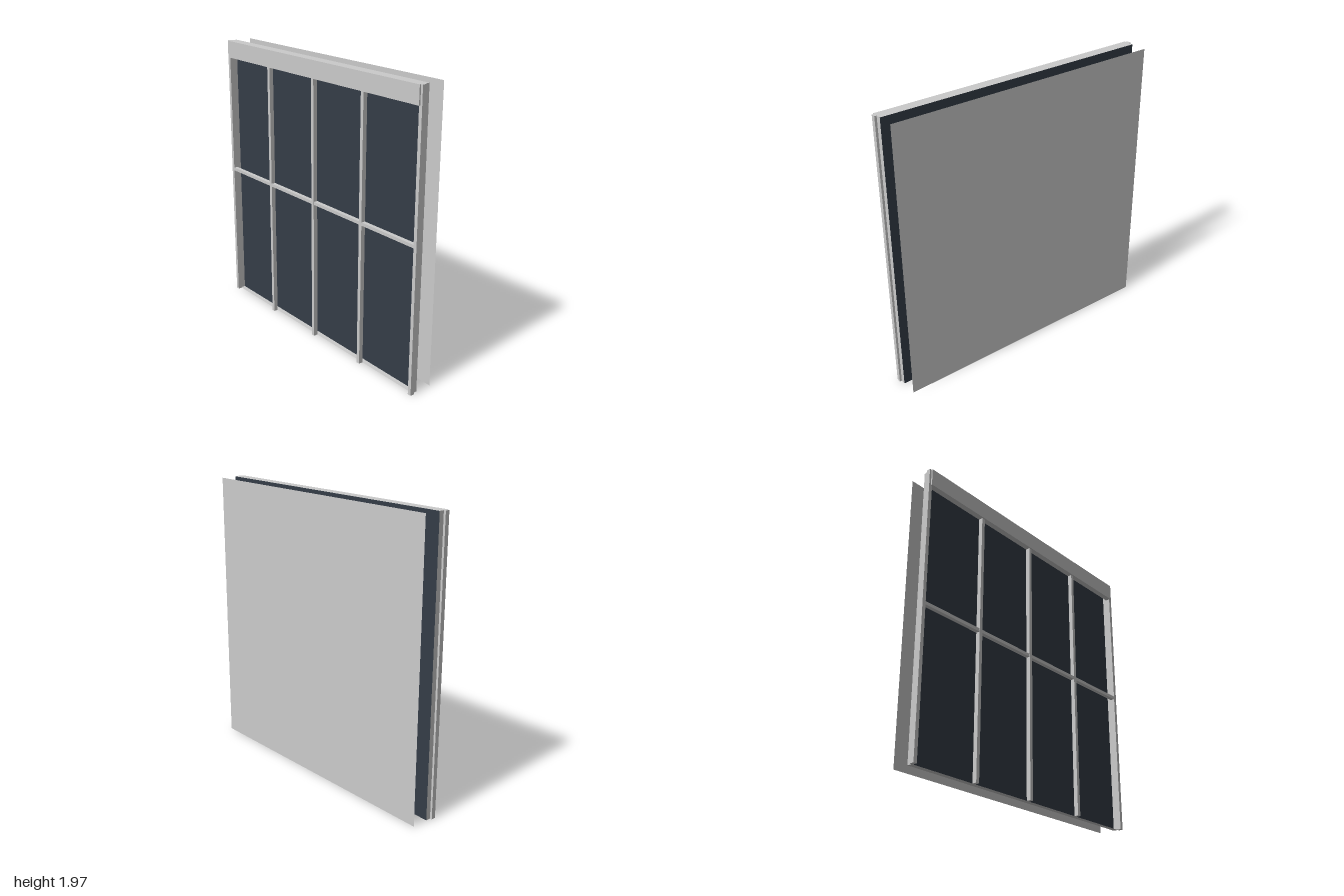
import * as THREE from 'three';

const H = 1.97;      // overall height
const W = 0.985;     // half width of the tray
const BACK = 0.02, MID = 0.055, FRONT = 0.085;

export function createModel() {
  const model = new THREE.Group();
  const grey = new THREE.MeshStandardMaterial({ color: 0xcccccc });
  const sheet = new THREE.MeshStandardMaterial({ color: 0xcccccc, side: THREE.DoubleSide });
  const dark = new THREE.MeshStandardMaterial({ color: 0x343d47, side: THREE.DoubleSide });

  // box given by its min and max corners
  const box = (name, x0, x1, y0, y1, z0, z1) => {
    const mesh = new THREE.Mesh(new THREE.BoxGeometry(x1 - x0, y1 - y0, z1 - z0), grey);
    mesh.position.set((x0 + x1) / 2, (y0 + y1) / 2, (z0 + z1) / 2);
    mesh.name = name;
    model.add(mesh);
  };
  // thin sheet, turned about x and y
  const plane = (name, w, h, x, y, z, material, rx = 0, ry = 0) => {
    const mesh = new THREE.Mesh(new THREE.PlaneGeometry(w, h), material);
    mesh.position.set(x, y, z);
    mesh.rotation.set(rx, ry, 0);
    mesh.name = name;
    model.add(mesh);
  };

  // wall sheet standing behind, and the dark glass
  plane('backPanel', 2 * W, H, 0, H / 2, -0.095, sheet);
  plane('glass', 2 * W, H, 0, H / 2, BACK, dark);

  // shallow rim around the glass, open to the front
  const depth = MID - BACK, zc = (MID + BACK) / 2;
  for (const s of [-1, 1]) plane('rimSide', depth, H, s * W, H / 2, zc, sheet, 0, s * Math.PI / 2);
  plane('rimTop', 2 * W, depth, 0, H, zc, sheet, -Math.PI / 2);
  plane('rimBottom', 2 * W, depth, 0, 0, zc, sheet, Math.PI / 2);

  // outer stiles and vertical glazing bars
  for (const s of [-1, 1]) {
    const x = s * 0.9875;
    box('stile', x - 0.0125, x + 0.0125, 0, H, MID, FRONT);
  }
  for (const x of [-0.492, 0, 0.492]) box('verticalBar', x - 0.0125, x + 0.0125, 0, 1.85, MID, FRONT);

  // horizontal glazing bar
  box('horizontalBar', -0.975, 0.975, 0.99, 1.012, MID, FRONT - 0.002);

  // header: beam between the stiles with a face board over it
  box('headerBeam', -0.975, 0.975, 1.85, H, MID, FRONT);
  box('headerBoard', -W, W, 1.85, H, FRONT, 0.095);

  return model;
}
